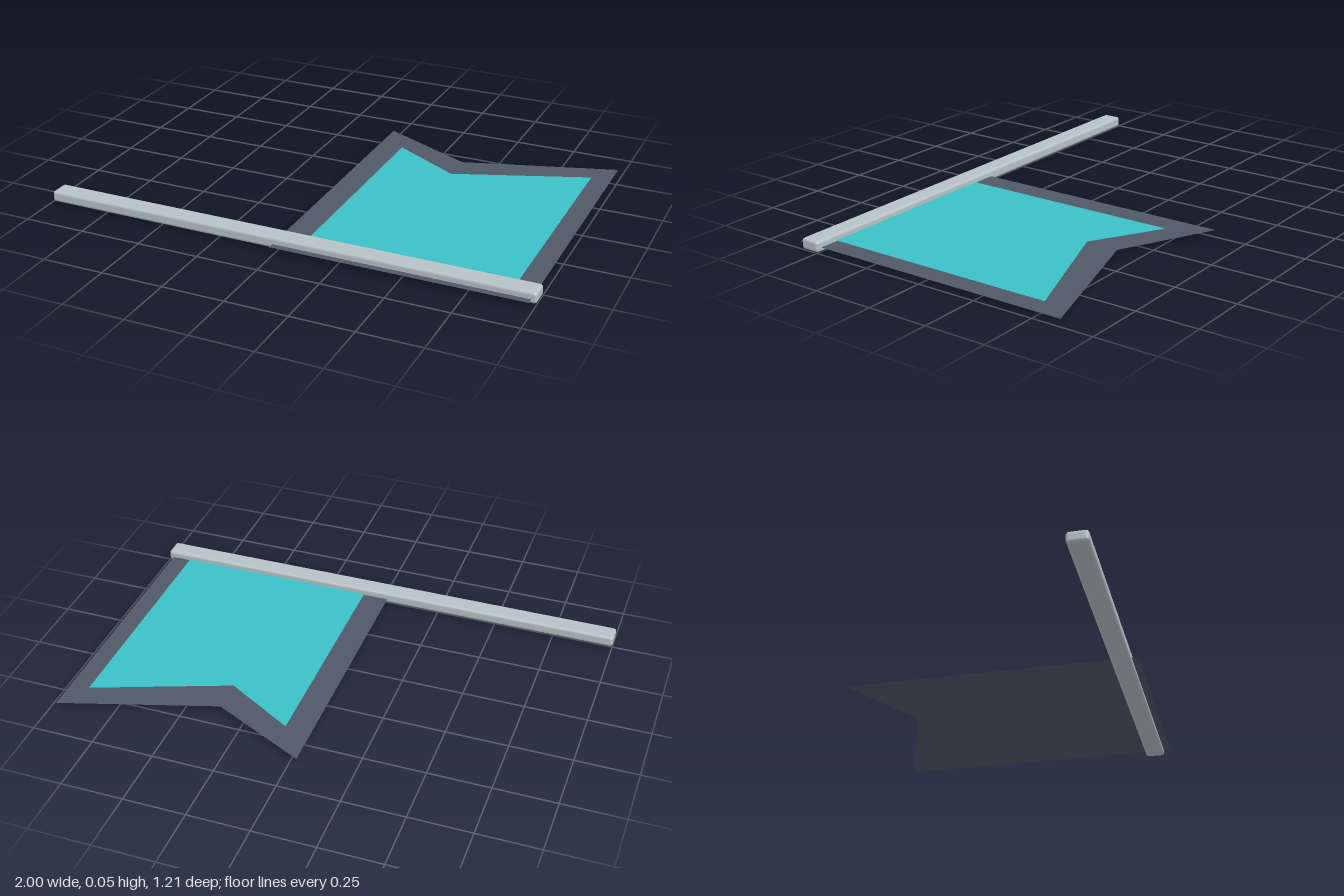
import * as THREE from 'three';
import { RoundedBoxGeometry } from 'three/addons/geometries/RoundedBoxGeometry.js';

const material = (name, color, side = THREE.FrontSide) => {
  const m = new THREE.MeshStandardMaterial({ color, side });
  m.name = name;
  return m;
};

// Flat sheet lying in the xz plane, from [x, z] outline points
function sheet(name, points, y, mat) {
  const shape = new THREE.Shape(points.map(([x, z]) => new THREE.Vector2(x, -z)));
  const geometry = new THREE.ShapeGeometry(shape);
  geometry.rotateX(-Math.PI / 2);
  const mesh = new THREE.Mesh(geometry, mat);
  mesh.name = name;
  mesh.position.y = y;
  return mesh;
}

export function createModel() {
  const model = new THREE.Group();
  model.name = 'flag';

  const slate = material('slate cloth', 0x505968, THREE.DoubleSide);
  const teal = material('teal cloth', 0x3cbfc7);
  const metal = material('pale metal', 0xb6c2c6);

  // Pole with softened edges
  const pole = new THREE.Mesh(new RoundedBoxGeometry(2, 0.045, 0.082, 2, 0.012), metal);
  pole.name = 'pole';
  pole.position.set(0, 0.0225, 0.537);
  model.add(pole);

  // Swallow-tailed cloth, with its inner panel just above it
  model.add(sheet('clothBorder', [
    [-0.025, 0.605], [0.98, 0.605], [0.98, -0.605], [0.365, -0.413], [-0.025, -0.605],
  ], 0.018, slate));
  model.add(sheet('clothPanel', [
    [0.08, 0.5], [0.9, 0.5], [0.9, -0.48], [0.365, -0.278], [0.08, -0.445],
  ], 0.021, teal));

  return model;
}
